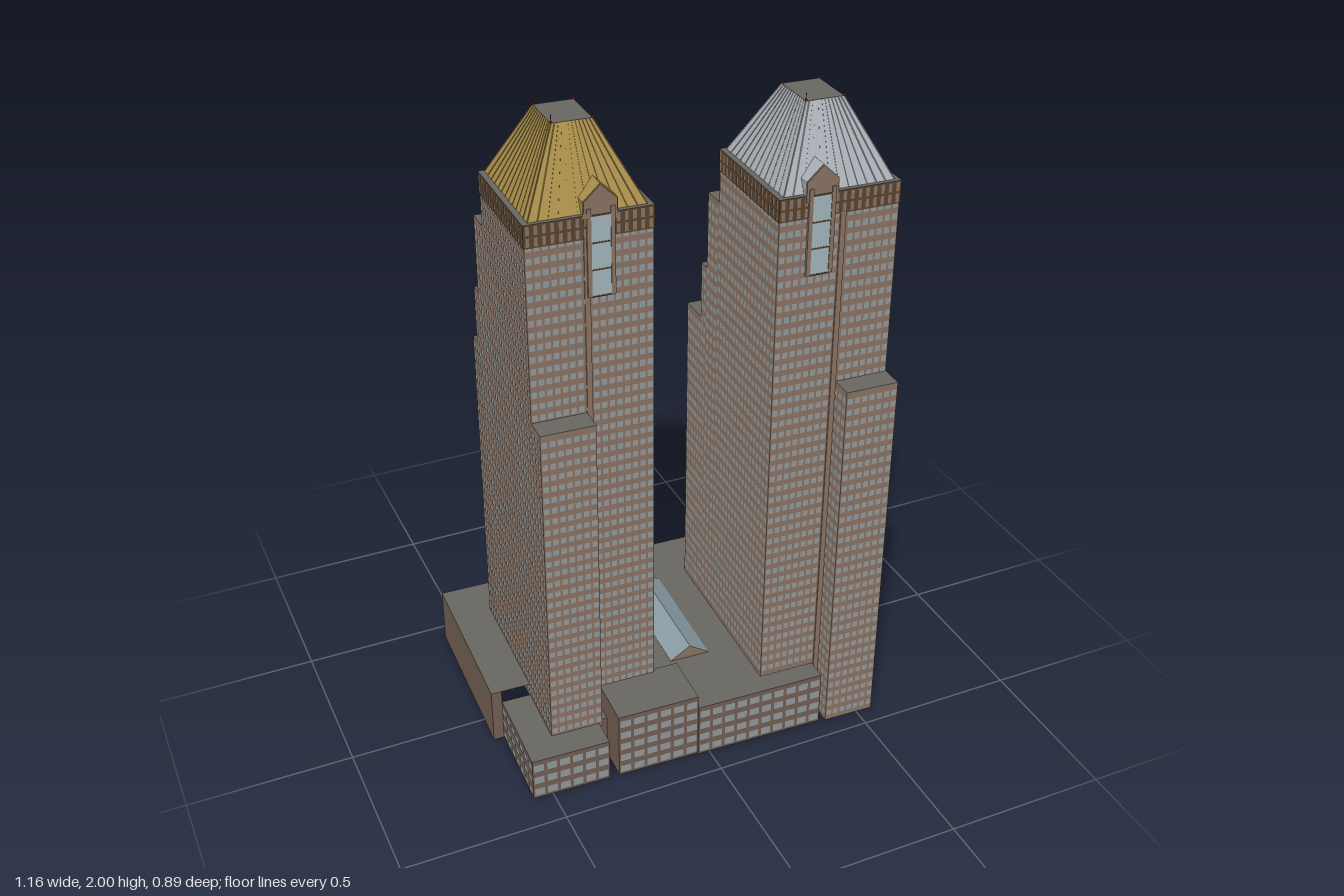
import * as THREE from 'three';

const mat = (color) => new THREE.MeshStandardMaterial({ color, side: THREE.DoubleSide, flatShading: true });
const BRICK = mat(0x8c7564), DARK = mat(0x59432f), PLAIN = mat(0x745f54), GLASS = mat(0x959c9e);
const BAY_GLASS = mat(0xa6b8bd), ROOF = mat(0x686761), GOLD = mat(0xaa8f4b), SILVER = mat(0xadb2b8);
const SKY = mat(0x8b9ca6), RED = mat(0xa02020);

function add(parent, name, geometry, material, x = 0, y = 0, z = 0) {
  const mesh = new THREE.Mesh(geometry, material);
  mesh.name = name;
  mesh.position.set(x, y, z);
  parent.add(mesh);
  return mesh;
}

function box(parent, name, material, x0, x1, y0, y1, z0, z1) {
  return add(parent, name, new THREE.BoxGeometry(x1 - x0, y1 - y0, z1 - z0), material,
    (x0 + x1) / 2, (y0 + y1) / 2, (z0 + z1) / 2);
}

// Grid of upright panels on the wall a -> b ([x, z] points, outside on the right hand of the path)
function panels(out, a, b, y0, y1, cols = 1, rows = 1, fillX = 1, fillY = 1, off = 0) {
  const dx = b[0] - a[0], dz = b[1] - a[1], len = Math.hypot(dx, dz);
  const nx = -dz / len * off, nz = dx / len * off, ph = (y1 - y0) / rows;
  for (let i = 0; i < cols; i++) {
    const s = (i + 0.5 - fillX / 2) / cols, t = (i + 0.5 + fillX / 2) / cols;
    const xa = a[0] + dx * s + nx, za = a[1] + dz * s + nz;
    const xb = a[0] + dx * t + nx, zb = a[1] + dz * t + nz;
    for (let j = 0; j < rows; j++) {
      const p = y0 + ph * (j + 0.5 - fillY / 2), q = p + ph * fillY;
      out.push(xa, p, za, xb, p, zb, xb, q, zb, xa, p, za, xb, q, zb, xa, q, za);
    }
  }
}

function panelMesh(parent, name, list, material) {
  const g = new THREE.BufferGeometry();
  g.setAttribute('position', new THREE.Float32BufferAttribute(list, 3));
  g.computeVertexNormals();
  return add(parent, name, g, material);
}

const rect = (x0, x1, z0, z1) => [[x0, z1], [x1, z1], [x1, z0], [x0, z0], [x0, z1]];
const sides = (path, fn) => path.slice(1).forEach((b, i) => fn(path[i], b, Math.hypot(b[0] - path[i][0], b[1] - path[i][1])));

function walls(parent, name, path, y0, y1, material = BRICK) {
  const list = [];
  sides(path, (a, b) => panels(list, a, b, y0, y1));
  panelMesh(parent, name, list, material);
}

function flatRoof(parent, name, path, y, material = ROOF) {
  const g = new THREE.ShapeGeometry(new THREE.Shape(path.map(([x, z]) => new THREE.Vector2(x, -z))));
  add(parent, name, g.rotateX(-Math.PI / 2), material, 0, y);
}

function block(parent, name, path, y0, y1, material = BRICK) {
  walls(parent, name, path, y0, y1, material);
  flatRoof(parent, name + 'Roof', path, y1);
}

function gable(parent, name, w, y0, yEave, yPeak, depth, material, x, z) {
  const s = new THREE.Shape([[-w, y0], [w, y0], [w, yEave], [0, yPeak], [-w, yEave]].map((p) => new THREE.Vector2(...p)));
  return add(parent, name, new THREE.ExtrudeGeometry(s, { depth, bevelEnabled: false }), material, x, 0, z);
}

// Hipped metal roof with standing seams and corner beacons
function crown(tower, metal) {
  const A = 0.163, B = 0.181, a = 0.056, b = 0.073, y0 = 1.762, y1 = 1.972;
  const g = new THREE.BoxGeometry(2 * A, y1 - y0, 2 * B);
  const p = g.attributes.position;
  for (let i = 0; i < p.count; i++) {
    if (p.getY(i) > 0) p.setXYZ(i, Math.sign(p.getX(i)) * a, p.getY(i), Math.sign(p.getZ(i)) * b);
  }
  g.computeVertexNormals();
  add(tower, 'hippedRoof', g, metal, 0, (y0 + y1) / 2);
  box(tower, 'roofDeck', ROOF, -a, a, y1 - 0.002, y1 + 0.001, -b, b);
  const seam = (from, to) => {
    const m = add(tower, 'roofSeam', new THREE.BoxGeometry(0.002, 0.003, from.distanceTo(to)), metal);
    m.position.copy(from).add(to).multiplyScalar(0.5);
    m.lookAt(to);
  };
  for (const s of [-1, 1]) {
    for (let i = 0; i <= 12; i++) {
      const t = i / 6 - 1;
      seam(new THREE.Vector3(t * A, y0, s * B), new THREE.Vector3(t * a, y1, s * b));
      if (i % 12) seam(new THREE.Vector3(s * A, y0, t * B), new THREE.Vector3(s * a, y1, t * b));
    }
    for (const t of [-1, 1]) {
      add(tower, 'beaconPost', new THREE.CylinderGeometry(0.0012, 0.0012, 0.024, 5), DARK, s * a, y1 + 0.012, t * b);
      add(tower, 'beacon', new THREE.BoxGeometry(0.005, 0.006, 0.005), RED, s * a, y1 + 0.004, t * b);
    }
  }
}

// Gabled dormer above a tall bay window, facing +z
function dormer(parent, x, bottom, metal) {
  gable(parent, 'dormer', 0.048, 1.75, 1.80, 1.845, 0.063, metal, x, 0.13);
  gable(parent, 'dormerFace', 0.046, 1.74, 1.799, 1.842, 0.004, BRICK, x, 0.192);
  box(parent, 'bayWindow', BAY_GLASS, x - 0.028, x + 0.028, bottom, 1.76, 0.18, 0.197);
  for (const s of [-1, 1]) box(parent, 'bayJamb', BRICK, x + s * 0.033 - 0.006, x + s * 0.033 + 0.006, bottom, 1.78, 0.18, 0.199);
  for (let y = bottom; y < 1.77; y += 0.0765) box(parent, 'bayTransom', DARK, x - 0.028, x + 0.028, y - 0.002, y + 0.002, 0.18, 0.198);
}

// m = +1 or -1 puts the front wing on the +x or -x side
function buildTower(name, m, base, metal, dormerX) {
  const tower = new THREE.Group();
  tower.name = name;
  const glass = [], W = 0.1775;
  const part = (label, u0, u1, v0, v1, top) => {
    const path = rect(Math.min(u0 * m, u1 * m), Math.max(u0 * m, u1 * m), v0, v1);
    block(tower, label, path, base, top);
    const y0 = base + 0.01, y1 = top - 0.012;
    sides(path, (a, b, len) => panels(glass, a, b, y0, y1,
      Math.max(1, Math.round(len / 0.0225)), Math.round((y1 - y0) / 0.036), 0.7, 0.52, 0.0012));
  };
  part('shaft', -W, W, -0.19, 0.19, 1.76);
  part('upperSetback', -W, W, -0.268, -0.19, 1.60);
  part('middleSetback', -W, W, -0.308, -0.268, 1.36);
  part('lowerSetback', -W, W, -0.348, -0.308, 1.18);
  part('backWing', -W, -0.02, -0.408, -0.348, 1.18);
  part('frontWing', 0.0175, W, 0.19, 0.262, 1.18);
  panelMesh(tower, 'windows', glass, GLASS);

  // Dark frieze with small pilasters under the eaves
  const band = rect(-W - 0.002, W + 0.002, -0.192, 0.192), teeth = [];
  block(tower, 'frieze', band, 1.695, 1.761, DARK);
  sides(band, (a, b, len) => {
    panels(teeth, a, b, 1.70, 1.725, Math.round(len / 0.0225), 1, 0.45, 1, 0.0015);
    panels(teeth, a, b, 1.732, 1.757, Math.round(len / 0.0225), 1, 0.45, 1, 0.0015);
  });
  panelMesh(tower, 'friezePilasters', teeth, BRICK);
  const px = m * 0.0095;
  box(tower, 'frontPilaster', BRICK, px - 0.008, px + 0.008, base, 1.70, 0.18, 0.194);

  crown(tower, metal);
  dormer(tower, dormerX, 1.53, metal);
  const back = new THREE.Group();
  back.name = 'backDormer';
  back.rotation.y = Math.PI;
  dormer(back, -dormerX, 1.607, metal);
  tower.add(back);
  return tower;
}

function buildPodium() {
  const podium = new THREE.Group();
  podium.name = 'podium';
  const glass = [];
  const glaze = (a, b, y0, y1, rows) =>
    panels(glass, a, b, y0, y1, Math.max(1, Math.round(Math.hypot(b[0] - a[0], b[1] - a[1]) / 0.04)), rows, 0.76, 0.56, 0.0015);

  // Main hall
  flatRoof(podium, 'mainRoof', [[-0.577, -0.422], [0.454, -0.422], [0.454, -0.18], [0.56, -0.18], [0.56, 0.35],
    [0.388, 0.35], [0.388, 0.415], [-0.02, 0.415], [-0.02, 0.255], [-0.45, 0.25], [-0.45, 0.122], [-0.577, 0.122]], 0.18);
  walls(podium, 'mainWalls', [[0.454, -0.18], [0.454, -0.422], [-0.577, -0.422], [-0.577, 0.122], [-0.545, 0.122]], 0, 0.18, PLAIN);
  glaze([0.454, -0.422], [-0.577, -0.422], 0, 0.175, 4);

  // Front ranges: low, high and middle
  flatRoof(podium, 'lowRoof', rect(-0.545, -0.305, 0.122, 0.411), 0.14);
  flatRoof(podium, 'passageRoof', rect(-0.305, -0.275, 0.2, 0.31), 0.14);
  walls(podium, 'lowWalls', [[-0.545, 0.122], [-0.545, 0.411], [-0.305, 0.411], [-0.305, 0.31], [-0.275, 0.31]], 0, 0.14, PLAIN);
  glaze([-0.545, 0.122], [-0.545, 0.411], 0, 0.135, 3);
  glaze([-0.545, 0.411], [-0.305, 0.411], 0, 0.135, 3);
  flatRoof(podium, 'highRoof', rect(-0.275, -0.02, 0.24, 0.411), 0.22);
  walls(podium, 'highWalls', [[-0.275, 0.25], [-0.275, 0.411], [-0.02, 0.411]], 0, 0.22, PLAIN);
  walls(podium, 'highParapet', [[-0.02, 0.411], [-0.02, 0.24], [-0.11, 0.24]], 0.18, 0.22, PLAIN);
  glaze([-0.275, 0.411], [-0.02, 0.411], 0, 0.215, 5);
  walls(podium, 'middleWalls', [[-0.02, 0.411], [-0.02, 0.415], [0.388, 0.415], [0.388, 0.35]], 0, 0.18, PLAIN);
  glaze([-0.02, 0.415], [0.388, 0.415], 0, 0.175, 4);
  panelMesh(podium, 'podiumWindows', glass, GLASS);

  // Glazed ridge over the hall between the towers
  gable(podium, 'skylight', 0.063, 0.178, 0.181, 0.222, 0.408, SKY, 0.049, -0.228);
  gable(podium, 'skylightEnd', 0.063, 0.178, 0.181, 0.222, 0.002, BRICK, 0.049, 0.179);

  // Blank wall at the foot of the rear tower corner
  walls(podium, 'blankWall', [[0.5705, 0.143], [0.5705, -0.191], [0.45, -0.191]], 0, 0.27);
  return podium;
}

export function createModel() {
  const model = new THREE.Group();
  model.name = 'twinTowers';
  const left = buildTower('goldTower', -1, 0.13, GOLD, 0.029);
  left.position.set(-0.2775, 0, 0.0615);
  const right = buildTower('silverTower', 1, 0, SILVER, -0.057);
  right.position.set(0.3905, 0, 0.159);
  model.add(left, right, buildPodium());
  // The whole block stands slightly turned
  model.rotation.y = -0.038;
  const root = new THREE.Group();
  root.name = 'building';
  root.add(model);
  return root;
}
